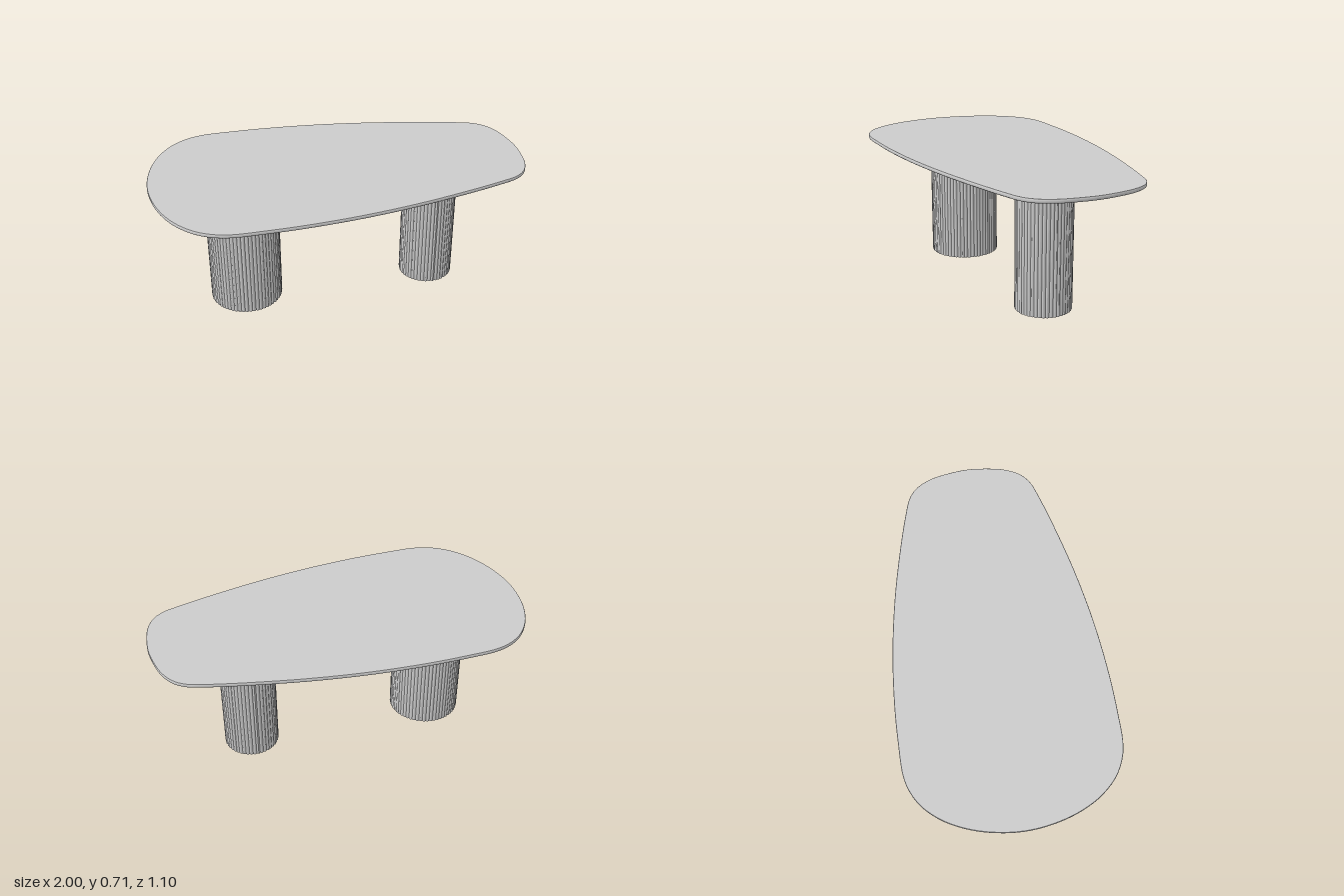
import * as THREE from 'three';
import { toCreasedNormals } from 'three/addons/utils/BufferGeometryUtils.js';

// Closed solid from stacked rings; each ring is { y, pts: [[x, z], ...] } turning from +x to +z
function loft(rings, crease) {
  const n = rings[0].pts.length;
  const pos = [];
  const index = [];
  for (const { y, pts } of rings) for (const [x, z] of pts) pos.push(x, y, z);
  const top = (rings.length - 1) * n;
  const bottomCentre = pos.length / 3;
  pos.push(0, rings[0].y, 0, 0, rings[rings.length - 1].y, 0);
  for (let i = 0; i < n; i++) {
    const j = (i + 1) % n;
    for (let k = 0; k < top; k += n) {
      index.push(k + i, k + n + i, k + j, k + j, k + n + i, k + n + j);
    }
    index.push(bottomCentre, i, j, bottomCentre + 1, top + j, top + i);
  }
  const geo = new THREE.BufferGeometry();
  geo.setAttribute('position', new THREE.Float32BufferAttribute(pos, 3));
  geo.setIndex(index);
  return toCreasedNormals(geo, crease);
}

// Egg-shaped slab, rounded on its lower edge
function tabletopGeometry() {
  const half = [
    [0.99, 0.11], [0.968, 0.208], [0.925, 0.287], [0.866, 0.333], [0.78, 0.362],
    [0.6, 0.41], [0.3, 0.476], [0, 0.522], [-0.28, 0.545], [-0.48, 0.549],
    [-0.65, 0.544], [-0.73, 0.522], [-0.81, 0.475], [-0.89, 0.386], [-0.95, 0.269], [-0.987, 0.135],
  ];
  const outline = [
    [1, 0], ...half, [-1, 0],
    ...half.map(([x, z]) => [x, -z]).reverse(),
  ].map(([x, z]) => new THREE.Vector3(x, 0, z));
  const curve = new THREE.CatmullRomCurve3(outline, true, 'centripetal');
  const steps = 160;
  const ring = (y, inset) => {
    const pts = [];
    for (let i = 0; i < steps; i++) {
      const p = curve.getPointAt(i / steps);
      const t = curve.getTangentAt(i / steps);
      pts.push([p.x - t.z * inset, p.z + t.x * inset]);
    }
    return { y, pts };
  };
  return loft([
    ring(0.692, 0.013), ring(0.694, 0.006), ring(0.698, 0.001), ring(0.702, 0),
    ring(0.712, 0), ring(0.715, 0.002),
  ], 0.75);
}

// Column with convex ribs meeting in sharp grooves
function flutedGeometry(radius, ribs, height) {
  const perRib = 4;
  const depth = 0.006;
  const pts = [];
  for (let i = 0; i < ribs * perRib; i++) {
    const a = (i / (ribs * perRib)) * Math.PI * 2;
    const r = radius - depth + depth * Math.sin(((i % perRib) / perRib) * Math.PI);
    pts.push([r * Math.cos(a), r * Math.sin(a)]);
  }
  return loft([{ y: 0, pts }, { y: height, pts }], 0.8);
}

export function createModel() {
  const model = new THREE.Group();
  model.name = 'table';
  const grey = new THREE.MeshStandardMaterial({ color: 0xcccccc });
  grey.name = 'light grey';

  const tabletop = new THREE.Mesh(tabletopGeometry(), grey);
  tabletop.name = 'tabletop';
  model.add(tabletop);

  // Two pedestals, the wider one under the broad end
  const pedestals = [
    { name: 'wide', x: -0.527, z: 0.01, radius: 0.194, plate: 0.272, ribs: 60 },
    { name: 'narrow', x: 0.505, z: 0.017, radius: 0.148, plate: 0.199, ribs: 46 },
  ];
  for (const p of pedestals) {
    const pedestal = new THREE.Group();
    pedestal.name = p.name + 'Pedestal';
    pedestal.position.set(p.x, 0, p.z);

    const column = new THREE.Mesh(flutedGeometry(p.radius, p.ribs, 0.677), grey);
    column.name = 'flutedColumn';

    // Short neck closing the shadow gap under the plate
    const neck = new THREE.Mesh(new THREE.CylinderGeometry(p.radius - 0.01, p.radius - 0.01, 0.006, 64), grey);
    neck.name = 'neck';
    neck.position.y = 0.678;

    const plate = new THREE.Mesh(new THREE.CylinderGeometry(p.plate, p.plate, 0.013, 80), grey);
    plate.name = 'mountingPlate';
    plate.position.y = 0.6865;

    pedestal.add(column, neck, plate);
    model.add(pedestal);
  }
  return model;
}
